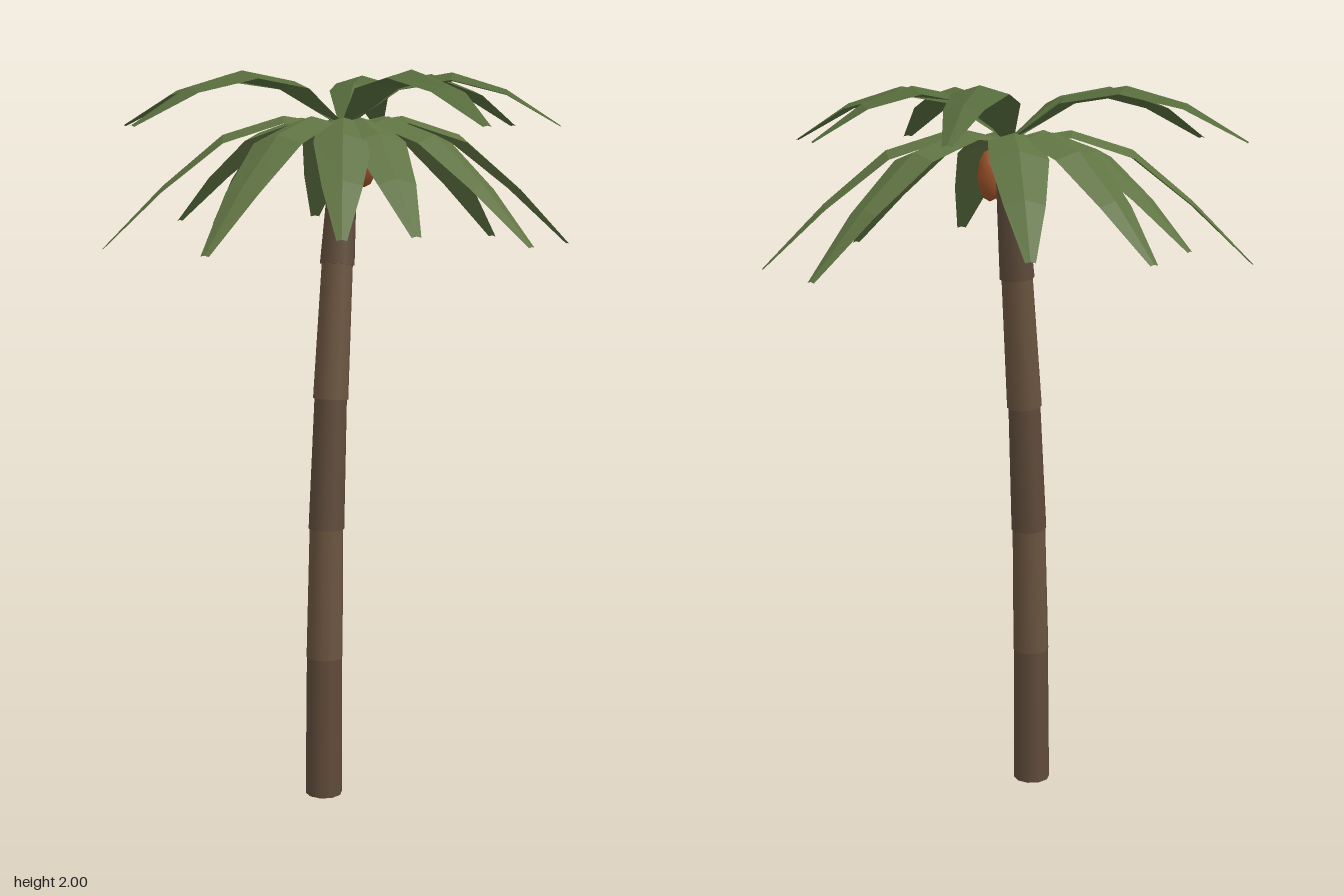
import * as THREE from 'three';

const CROWN = new THREE.Vector3(-0.003, 1.86, -0.05);

// One leaf: cross-sections of left edge, raised midrib and right edge along +x.
function frondGeometry(length, profile) {
  const halfWidths = [0.012, 0.068, 0.076, 0.052, 0.013];
  const folds = [0.004, 0.02, 0.022, 0.014, 0.003];
  const pos = [], index = [];
  profile.forEach((y, i) => {
    const x = (length * i) / 4, w = halfWidths[i];
    pos.push(x, y - folds[i], -w, x, y, 0, x, y - folds[i], w);
    if (i === 4) return;
    for (let j = 0; j < 2; j++) {
      const a = i * 3 + j, b = a + 1, c = a + 3, d = a + 4;
      index.push(a, b, c, b, d, c);
    }
  });
  const g = new THREE.BufferGeometry();
  g.setAttribute('position', new THREE.Float32BufferAttribute(pos, 3));
  g.setIndex(index);
  g.computeVertexNormals();
  return g;
}

function createTrunk() {
  const trunk = new THREE.Group();
  trunk.name = 'trunk';
  const centres = [
    [-0.12, 0, 0.051], [-0.115, 0.4, 0.048], [-0.103, 0.765, 0.038],
    [-0.08, 1.125, 0.02], [-0.045, 1.49, -0.008], [0, 1.86, -0.045],
  ].map((p) => new THREE.Vector3(...p));
  const bottom = [0.052, 0.051, 0.05, 0.049, 0.048];
  const top = [0.05, 0.047, 0.045, 0.043, 0.034];
  const up = new THREE.Vector3(0, 1, 0);
  const colors = [0x5f4b3b, 0x6a543f];
  for (let i = 0; i < 5; i++) {
    const dir = centres[i + 1].clone().sub(centres[i]);
    const segment = new THREE.Mesh(
      new THREE.CylinderGeometry(top[i], bottom[i], dir.length() + 0.006, 10),
      new THREE.MeshStandardMaterial({ color: colors[i % 2] })
    );
    segment.name = 'trunkSegment';
    segment.position.copy(centres[i]).add(centres[i + 1]).multiplyScalar(0.5);
    segment.quaternion.setFromUnitVectors(up, dir.normalize());
    trunk.add(segment);
  }
  return trunk;
}

function createFronds() {
  const crown = new THREE.Group();
  crown.name = 'crown';
  const lengths = [0.545, 0.645, 0.65, 0.575, 0.66, 0.585, 0.575, 0.545,
    0.66, 0.66, 0.605, 0.545, 0.625, 0.66, 0.54, 0.535];
  const upperProfile = [0, 0.115, 0.14, 0.095, 0];
  const lowerProfile = [0, 0.025, -0.025, -0.16, -0.325];
  const upperMat = new THREE.MeshStandardMaterial({ color: 0x566b3c, flatShading: true, side: THREE.DoubleSide });
  const lowerMat = new THREE.MeshStandardMaterial({ color: 0x5f7342, flatShading: true, side: THREE.DoubleSide });

  // Leaves spiral round by the golden angle: six arched ones, then ten drooping ones.
  lengths.forEach((length, i) => {
    const upper = i < 6;
    const droop = length / 0.65;
    const profile = upper ? upperProfile : lowerProfile.map((y) => y * droop);
    const frond = new THREE.Mesh(frondGeometry(length, profile), upper ? upperMat : lowerMat);
    frond.name = upper ? 'upperFrond' : 'lowerFrond';
    frond.position.copy(CROWN);
    frond.rotation.y = THREE.MathUtils.degToRad(137.5 * i);
    crown.add(frond);
  });
  return crown;
}

function createNuts() {
  const nuts = new THREE.Group();
  nuts.name = 'coconuts';
  const material = new THREE.MeshStandardMaterial({ color: 0x9a5228 });
  for (const [x, y, z] of [[0.025, 1.765, 0.015], [-0.01, 1.765, -0.112]]) {
    const nut = new THREE.Mesh(new THREE.SphereGeometry(0.037, 8, 6), material);
    nut.name = 'coconut';
    nut.scale.y = 1.9;
    nut.position.set(x, y, z);
    nuts.add(nut);
  }
  return nuts;
}

export function createModel() {
  const palm = new THREE.Group();
  palm.name = 'palmTree';
  palm.add(createTrunk(), createFronds(), createNuts());
  return palm;
}
